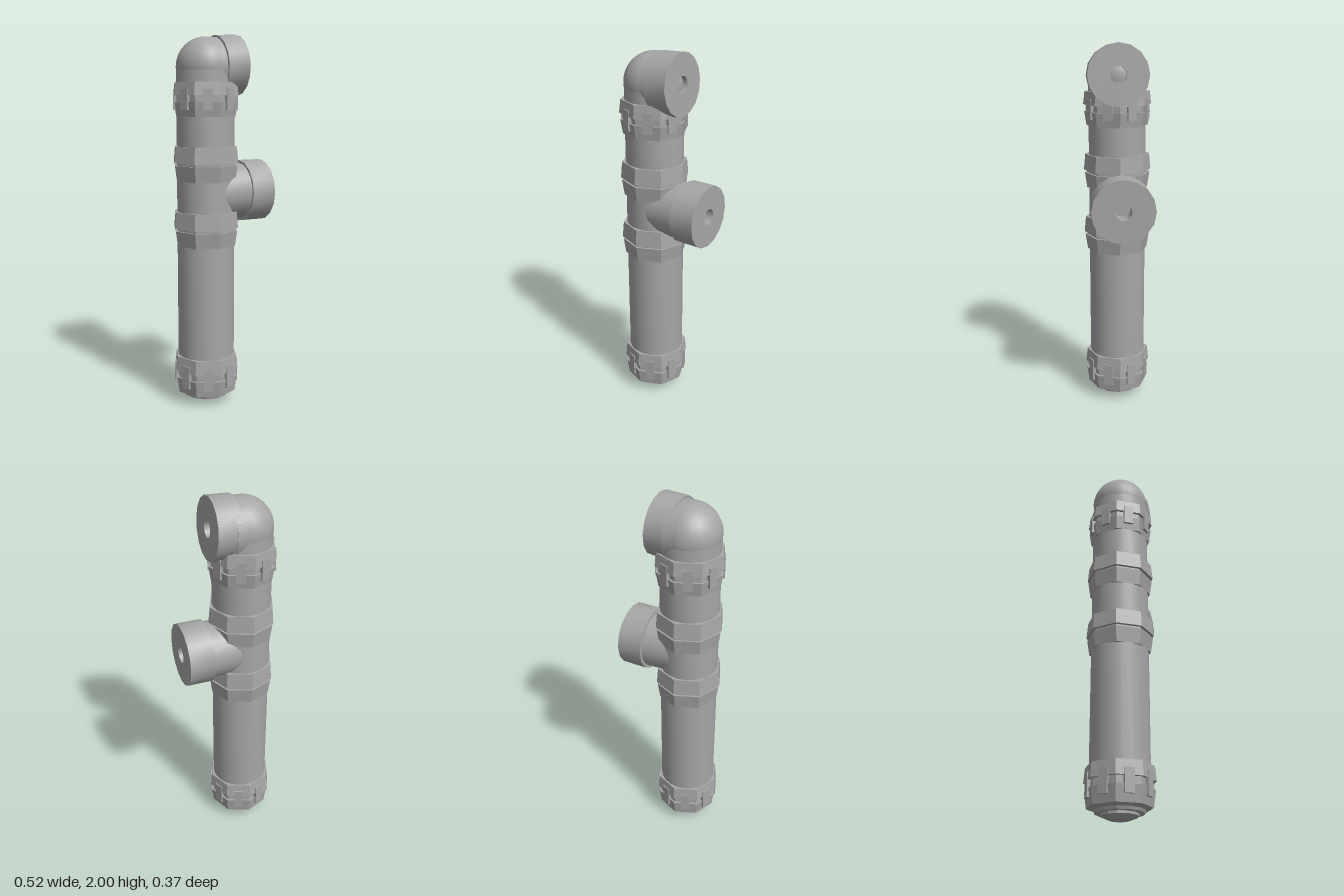
import * as THREE from 'three';
import { toCreasedNormals } from 'three/addons/utils/BufferGeometryUtils.js';

const AXIS = -0.08; // x of the upright pipe

export function createModel() {
  const model = new THREE.Group();
  model.name = 'pipeAssembly';
  const metal = new THREE.MeshStandardMaterial({ color: 0xa6a6a6 });
  metal.name = 'grey metal';

  const add = (name, geometry, x = AXIS, y = 0, z = 0, parent = model) => {
    const mesh = new THREE.Mesh(geometry, metal);
    mesh.name = name;
    mesh.position.set(x, y, z);
    parent.add(mesh);
    return mesh;
  };

  // Turned solid from [radius, height] pairs, listed bottom to top
  const turned = (pairs, sides, crease = 0.6) => toCreasedNormals(
    new THREE.LatheGeometry(pairs.map(([r, h]) => new THREE.Vector2(r, h)), sides), crease);

  // Upright pipe sections
  const pipe = (name, y0, y1) =>
    add(name, turned([[0, y0], [0.155, y0], [0.155, y1], [0, y1]], 24));
  pipe('lowerPipe', 0.08, 0.95);
  pipe('teeBody', 0.95, 1.35);
  pipe('upperPipe', 1.35, 1.83);

  // Eight-sided coupling nut: two bands, a recessed groove and bridging lugs
  function nut(name, y0, y1, lugs) {
    const group = new THREE.Group();
    group.name = name;
    group.position.set(AXIS, y0, 0);
    model.add(group);
    const h = y1 - y0;
    const low = lugs ? 0.42 : 0.45;
    const high = lugs ? 0.62 : 0.53;
    add('nutBody', turned([
      [0.14, 0], [0.166, 0], [0.178, h * low], [0.166, h * low],
      [0.166, h * high], [0.183, h * high], [0.175, h], [0.14, h],
    ], 8, 0.1), 0, 0, 0, group);
    for (let i = 0; lugs && i < 8; i++) {
      const a = (i + 0.5) * Math.PI / 4;
      const lug = add('nutLug', new THREE.BoxGeometry(0.05, h * 0.6, 0.02),
        Math.sin(a) * 0.162, h * 0.5, Math.cos(a) * 0.162, group);
      lug.rotation.y = a;
    }
  }
  nut('bottomNut', 0.06, 0.265, true);
  nut('teeLowerNut', 0.88, 1.065, false);
  nut('teeUpperNut', 1.23, 1.415, false);
  nut('elbowNut', 1.57, 1.75, true);

  // Stepped foot plug below the bottom nut
  add('footPlug', turned([
    [0, 0], [0.055, 0.005], [0.095, 0.022], [0.095, 0.035],
    [0.125, 0.035], [0.13, 0.05], [0.155, 0.065], [0.155, 0.085],
  ], 12, 0.2));

  // Sideways parts: turned along y, then laid along +x
  const sideways = (name, pairs, sides, y, z = 0) =>
    add(name, turned(pairs, sides).rotateZ(-Math.PI / 2), 0, y, z);

  // Outlet collar with a small blind bore in its face
  const collar = (name, x0, x1, r, y, z) => sideways(name, [
    [0, x0], [r, x0], [r, x1], [0.044, x1], [0.044, x1 - 0.09], [0, x1 - 0.09],
  ], 16, y, z);

  // Tee branch and its outlet
  sideways('teeBranch', [[0, AXIS], [0.148, AXIS], [0.153, 0.13], [0, 0.13]], 24, 1.165);
  collar('teeOutlet', 0.125, 0.26, 0.169, 1.165, -0.003);

  // Rounded elbow turning towards the upper outlet
  add('elbowBend', new THREE.SphereGeometry(0.157, 24, 16), AXIS, 1.83);
  sideways('elbowThroat', [[0, AXIS], [0.155, AXIS], [0.155, 0], [0, 0]], 24, 1.832);
  const outlet = collar('elbowOutlet', -0.062, 0.062, 0.161, 1.839, 0.009);
  outlet.position.x = 0.036;
  outlet.rotation.z = 0.05;

  return model;
}
